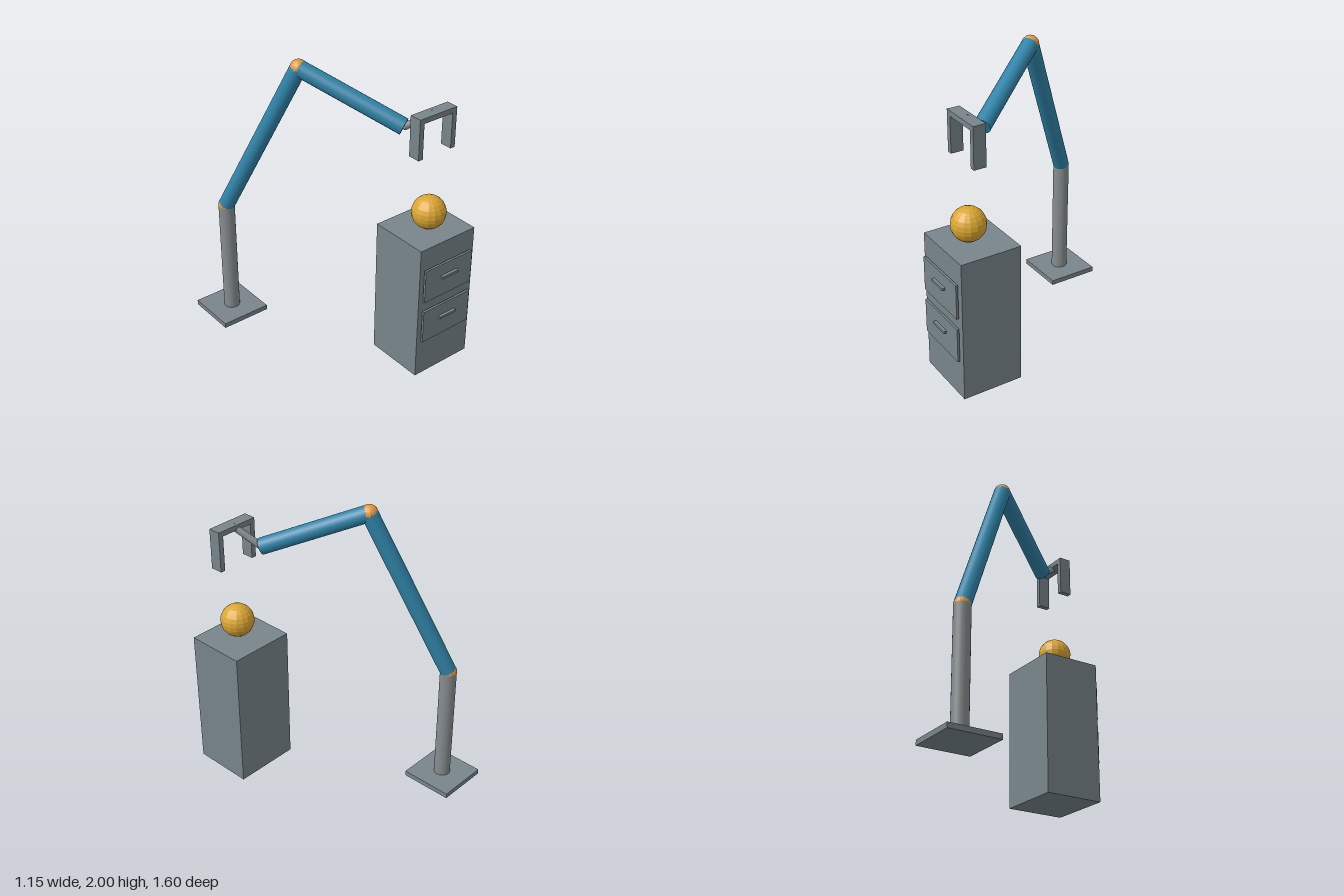
import * as THREE from 'three';

const paint = (name, color, flat = true) => {
  const m = new THREE.MeshStandardMaterial({ color, flatShading: flat });
  m.name = name;
  return m;
};

export function createModel() {
  const grey = paint('slate grey', 0x78858b);
  const steel = paint('column grey', 0x868c8e, false);
  const blue = paint('arm blue', 0x3083a8, false);
  const orange = paint('joint orange', 0xe09a40);
  const gold = paint('ball gold', 0xdaa532);

  const group = new THREE.Group();
  const add = (name, geometry, material, parent = group) => {
    const mesh = new THREE.Mesh(geometry, material);
    mesh.name = name;
    parent.add(mesh);
    return mesh;
  };
  // Box given by its limits on each axis
  const box = (name, [x0, x1], [y0, y1], [z0, z1], parent) =>
    add(name, new THREE.BoxGeometry(x1 - x0, y1 - y0, z1 - z0), grey, parent)
      .position.set((x0 + x1) / 2, (y0 + y1) / 2, (z0 + z1) / 2);
  // Cylinder between two points
  const rod = (name, a, b, radius, material, parent) => {
    const d = b.clone().sub(a);
    const mesh = add(name, new THREE.CylinderGeometry(radius, radius, d.length(), 24), material, parent);
    mesh.position.copy(a).addScaledVector(d, 0.5);
    mesh.quaternion.setFromUnitVectors(new THREE.Vector3(0, 1, 0), d.normalize());
  };
  const ball = (name, p, radius, material, parent) =>
    add(name, new THREE.SphereGeometry(radius, 16, 12), material, parent).position.copy(p);
  const subgroup = (name) => {
    const g = new THREE.Group();
    g.name = name;
    group.add(g);
    return g;
  };

  // Robot arm
  const foot = new THREE.Vector3(-0.4, 0.035, -0.62);
  const shoulder = new THREE.Vector3(-0.4, 0.86, -0.62);
  const elbow = new THREE.Vector3(-0.113, 1.944, -0.165);
  const wrist = new THREE.Vector3(0.252, 1.655, 0.41);
  const palm = new THREE.Vector3(0.345, 1.778, 0.565);
  const arm = subgroup('robotArm');
  box('basePlate', [-0.577, -0.222], [0, 0.035], [-0.8, -0.443], arm);
  rod('column', foot, shoulder, 0.055, steel, arm);
  ball('shoulderJoint', shoulder, 0.056, orange, arm);
  rod('upperArm', shoulder, elbow, 0.055, blue, arm);
  ball('elbowJoint', elbow, 0.056, orange, arm);
  rod('forearm', elbow, wrist, 0.055, blue, arm);
  rod('wristRod', wrist, palm, 0.023, steel, arm);

  // Gripper
  const gripper = subgroup('gripper');
  box('gripperBar', [0.195, 0.495], [1.76, 1.795], [0.527, 0.611], gripper);
  box('rightFinger', [0.195, 0.23], [1.52, 1.76], [0.527, 0.611], gripper);
  box('leftFinger', [0.46, 0.495], [1.52, 1.76], [0.527, 0.611], gripper);

  // Cabinet with two drawers standing just in front of it
  const cabinet = subgroup('cabinet');
  box('cabinetBody', [0.117, 0.573], [0, 0.975], [0.34, 0.756], cabinet);
  for (const y of [0.708, 0.395]) {
    box('drawerFront', [0.145, 0.545], [y - 0.119, y + 0.119], [0.765, 0.78], cabinet);
    box('drawerHandle', [0.277, 0.412], [y + 0.018, y + 0.035], [0.78, 0.8], cabinet);
  }

  // Ball resting on the cabinet
  ball('ball', new THREE.Vector3(0.345, 1.09, 0.57), 0.113, gold);
  return group;
}
